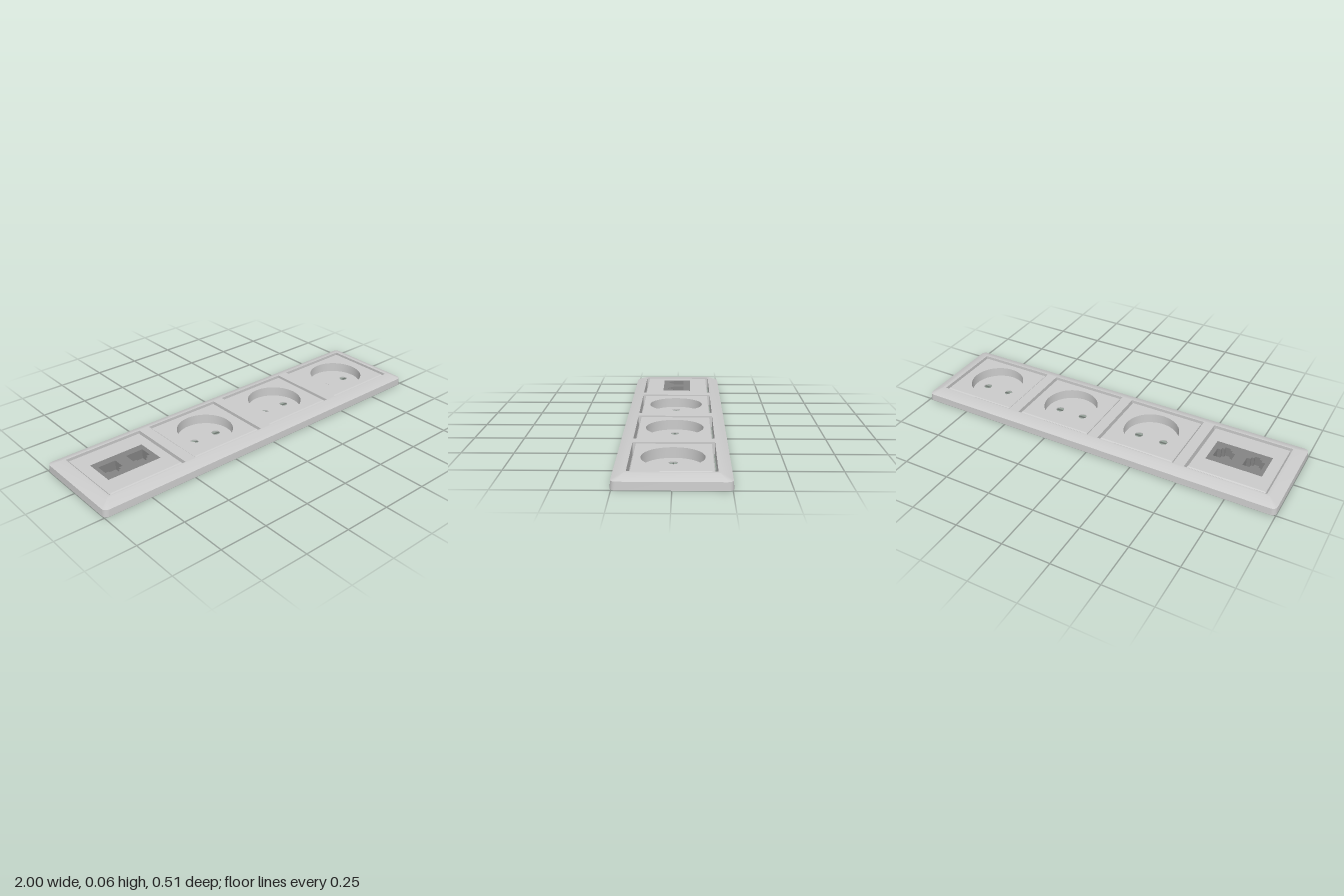
import * as THREE from 'three';
import { mergeGeometries, toCreasedNormals } from 'three/addons/utils/BufferGeometryUtils.js';

const V = (x, y) => new THREE.Vector2(x, y);

// Outlines are drawn counter-clockwise in plan: x right, y towards the back
function rect(hw, hh, cx = 0, r = 0, seg = 5) {
  if (!r) return [V(cx - hw, -hh), V(cx + hw, -hh), V(cx + hw, hh), V(cx - hw, hh)];
  const pts = [];
  [[1, -1], [1, 1], [-1, 1], [-1, -1]].forEach(([sx, sy], k) => {
    for (let i = 0; i <= seg; i++) {
      const a = (k - 1 + i / seg) * Math.PI / 2;
      pts.push(V(cx + sx * (hw - r) + r * Math.cos(a), sy * (hh - r) + r * Math.sin(a)));
    }
  });
  return pts;
}

function circle(cx, r, n) {
  return Array.from({ length: n }, (_, i) => {
    const a = i / n * Math.PI * 2;
    return V(cx + r * Math.cos(a), r * Math.sin(a));
  });
}

// Stepped opening of a network jack
function jackOutline(cx) {
  const half = [[0.014, -0.05], [0.014, -0.037], [0.028, -0.037], [0.028, -0.022], [0.047, -0.022], [0.047, 0.04]];
  return [...half.map(([x, y]) => V(cx + x, y)), ...half.slice().reverse().map(([x, y]) => V(cx - x, y))];
}

// Wall through matching outlines [points, height]; rising faces out, falling faces in
function wall(...rings) {
  const pos = [];
  for (let k = 0; k + 1 < rings.length; k++) {
    const [lo, h0] = rings[k], [hi, h1] = rings[k + 1];
    lo.forEach((a, i) => {
      const j = (i + 1) % lo.length, b = lo[j], c = hi[j], d = hi[i];
      pos.push(a.x, a.y, h0, b.x, b.y, h0, c.x, c.y, h1, a.x, a.y, h0, c.x, c.y, h1, d.x, d.y, h1);
    });
  }
  const g = new THREE.BufferGeometry();
  g.setAttribute('position', new THREE.Float32BufferAttribute(pos, 3));
  return g;
}

// Flat face with holes, facing up or down
function cap(outline, holes, h, up = true) {
  const shape = new THREE.Shape(outline);
  shape.holes = holes.map(p => new THREE.Path(p));
  const g = new THREE.ShapeGeometry(shape);
  if (!up) g.index.array.reverse();
  g.translate(0, 0, h);
  const flat = g.toNonIndexed();
  flat.deleteAttribute('uv');
  flat.deleteAttribute('normal');
  return flat;
}

function part(name, material, pieces) {
  const g = mergeGeometries(pieces);
  g.rotateX(-Math.PI / 2);
  g.computeVertexNormals();
  const mesh = new THREE.Mesh(toCreasedNormals(g, 0.5), material);
  mesh.name = name;
  return mesh;
}

export function createModel() {
  const group = new THREE.Group();
  group.name = 'wallSocketStrip';
  const grey = new THREE.MeshStandardMaterial({ color: 0xcccccc });
  const dark = new THREE.MeshStandardMaterial({ color: 0x858585 });
  const centres = [-0.72, -0.24, 0.24, 0.72];
  const FRAME = 0.06, TOP = 0.056, FLOOR = 0.005;

  // Surrounding frame: upright rim, sloped shoulder, four openings
  const base = rect(1, 0.256, 0, 0.025), shoulder = rect(0.998, 0.254, 0, 0.025);
  const crown = rect(0.948, 0.203, 0, 0.005);
  const openings = centres.map(x => rect(0.211, 0.192, x));
  group.add(part('frame', grey, [
    wall([base, 0], [shoulder, 0.037], [crown, FRAME]),
    cap(crown, openings, FRAME),
    cap(base, openings, 0, false),
    ...openings.map(o => wall([o, FRAME], [o, 0])),
  ]));

  // Chamfered outer edge shared by all inserts
  const outer = rect(0.201, 0.181), inner = rect(0.196, 0.176);
  const edge = () => wall([outer, 0], [outer, TOP - 0.005], [inner, TOP]);

  // Power sockets with a round well and two pin holes
  const well = circle(0, 0.143, 64);
  const pins = [-0.07, 0.07].map(x => circle(x, 0.021, 24));
  centres.slice(1).forEach((x, i) => {
    const socket = part('powerSocket' + (i + 1), grey, [
      edge(),
      cap(inner, [well], TOP),
      wall([well, TOP], [well, FLOOR]),
      cap(well, pins, FLOOR),
      ...pins.map(p => wall([p, FLOOR], [p, 0])),
      cap(outer, pins, 0, false),
    ]);
    socket.position.x = x;
    group.add(socket);
  });

  // Network insert: cover plate with a dark panel holding two jacks
  const network = new THREE.Group();
  network.name = 'networkSocket';
  network.position.x = centres[0];
  const window_ = rect(0.146, 0.08);
  const jacks = [-0.079, 0.076].map(jackOutline);
  network.add(part('coverPlate', grey, [
    edge(),
    cap(inner, [window_], TOP),
    wall([window_, TOP], [window_, 0]),
    cap(outer, [window_], 0, false),
  ]));
  network.add(part('jackPanel', dark, [
    cap(window_, jacks, TOP),
    ...jacks.map(j => wall([j, TOP], [j, FLOOR])),
    ...jacks.map(j => cap(j, [], FLOOR)),
    cap(window_, [], 0, false),
  ]));
  group.add(network);
  return group;
}
